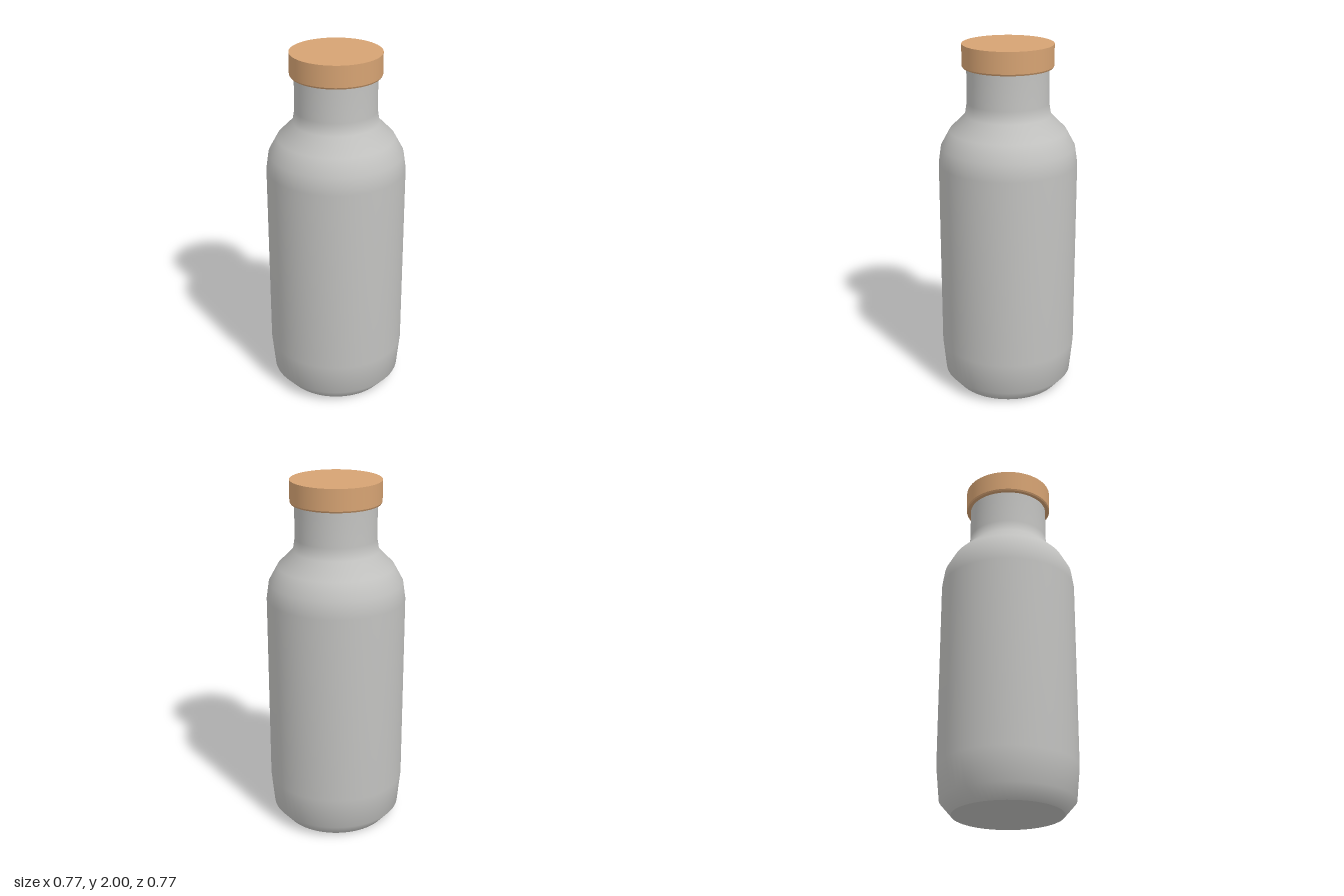
import * as THREE from 'three';

const SEGMENTS = 64;

function material(name, color) {
  const m = new THREE.MeshStandardMaterial({ color });
  m.name = name;
  return m;
}

// Turned part from [radius, height] pairs, listed bottom to top
function turned(name, profile, mat) {
  const points = profile.map(([r, y]) => new THREE.Vector2(r, y));
  const mesh = new THREE.Mesh(new THREE.LatheGeometry(points, SEGMENTS), mat);
  mesh.name = name;
  return mesh;
}

// Flat round face, up = 1 or down = -1
function disc(name, radius, y, up, mat) {
  const geometry = new THREE.CircleGeometry(radius, SEGMENTS);
  geometry.rotateX(-up * Math.PI / 2);
  const mesh = new THREE.Mesh(geometry, mat);
  mesh.name = name;
  mesh.position.y = y;
  return mesh;
}

export function createModel() {
  const steel = material('brushed grey', 0xc2c2c0);
  const wood = material('light wood', 0xd6a373);

  // Bottle: chamfered foot, straight wall, sloped shoulder, narrow neck
  const bottle = new THREE.Group();
  bottle.name = 'bottle';
  bottle.add(
    turned('bottleWall', [
      [0.302, 0], [0.367, 0.075], [0.385, 0.26], [0.385, 1.34],
      [0.371, 1.435], [0.322, 1.525], [0.236, 1.612], [0.225, 1.68], [0.225, 1.89],
    ], steel),
    disc('bottleBase', 0.302, 0, -1, steel),
  );

  // Cap: short cylinder with a slight bevel along its lower edge
  const cap = new THREE.Group();
  cap.name = 'cap';
  cap.add(
    turned('capSide', [[0.25, 1.882], [0.25, 2]], wood),
    turned('capBevel', [[0.245, 1.873], [0.25, 1.882]], wood),
    disc('capTop', 0.25, 2, 1, wood),
    disc('capUnderside', 0.245, 1.873, -1, wood),
  );

  const model = new THREE.Group();
  model.name = 'flask';
  model.add(bottle, cap);
  return model;
}
